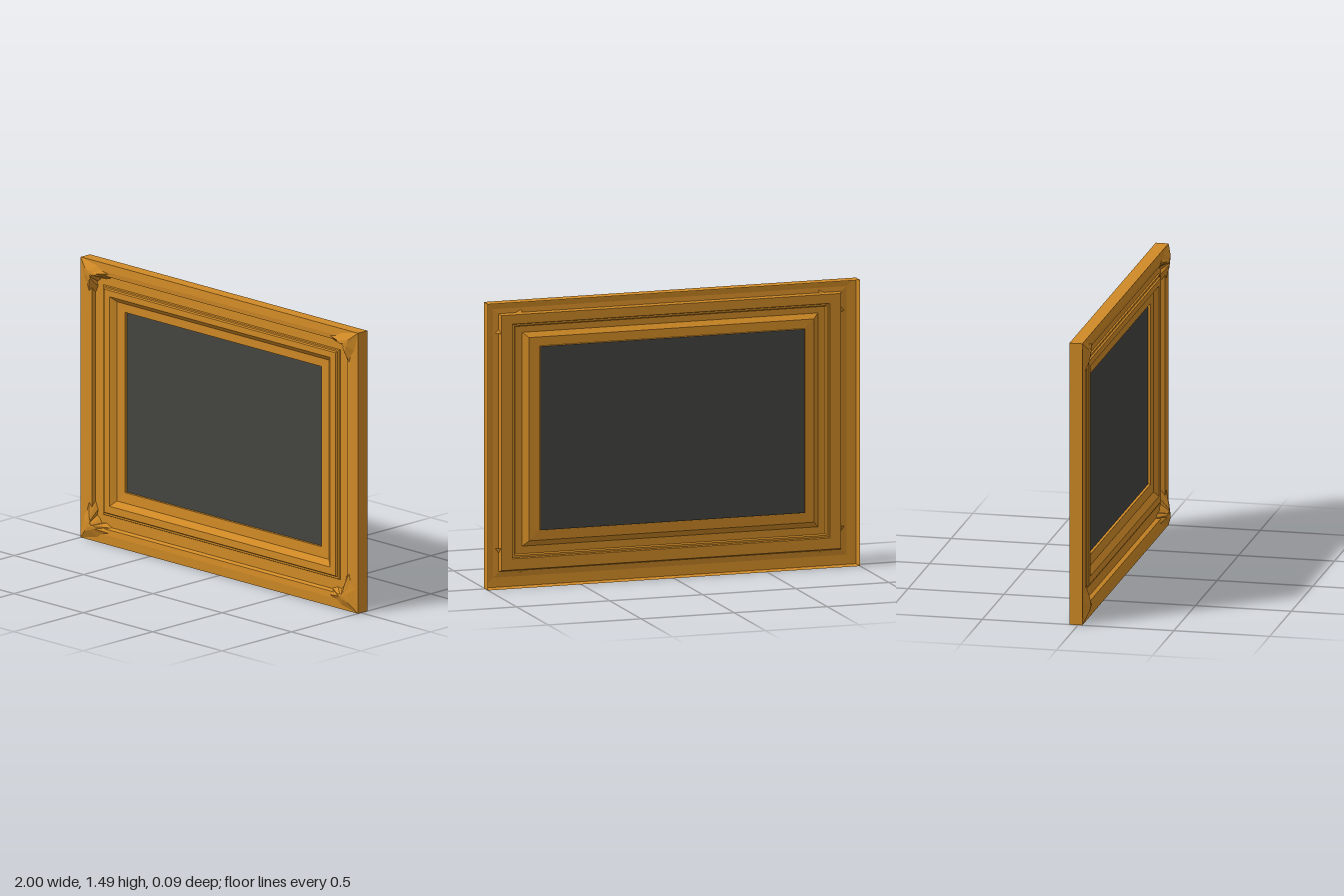
import * as THREE from 'three';

const W = 2, H = 1.485, TOP = 0.83; // the top rail is a little narrower than the others

const gold = new THREE.MeshStandardMaterial({ color: 0xd08a26, flatShading: true, side: THREE.DoubleSide });
const dark = new THREE.MeshStandardMaterial({ color: 0x444440, side: THREE.DoubleSide });

// corners counter-clockwise from the front: [x sign, is top]
const corners = [[-1, false], [1, false], [1, true], [-1, true]];

// point at inset u (sideways) and v (up or down) from a frame corner
function place([sx, top], u, v, z) {
  return [sx * (W / 2 - u), top ? H - v * TOP : v, z];
}

function meshFrom(name, positions) {
  const geo = new THREE.BufferGeometry();
  geo.setAttribute('position', new THREE.Float32BufferAttribute(positions, 3));
  geo.computeVertexNormals();
  const mesh = new THREE.Mesh(geo, gold);
  mesh.name = name;
  return mesh;
}

// moulding section swept round four mitred corners: [inset, z], open at the back
function makeMoulding() {
  const profile = [
    [0, -0.045], [0, 0.022], [0.05, 0.025], [0.08, 0.022], // outer rail
    [0.088, 0.002], [0.146, 0.002],                        // groove
    [0.15, 0.010], [0.16, 0.010], [0.166, 0.019], [0.205, 0.019], // stepped ridge
    [0.235, -0.004], [0.29, -0.006], [0.29, -0.022],       // inner bevel and lip
  ];
  const pos = [];
  for (let j = 0; j < profile.length - 1; j++) {
    const [d0, z0] = profile[j], [d1, z1] = profile[j + 1];
    for (let i = 0; i < 4; i++) {
      const p = corners[i], q = corners[(i + 1) % 4];
      const a = place(p, d0, d0, z0), b = place(q, d0, d0, z0);
      const c = place(q, d1, d1, z1), d = place(p, d1, d1, z1);
      pos.push(...a, ...b, ...c, ...a, ...c, ...d);
    }
  }
  return meshFrom('frameMoulding', pos);
}

// faceted leaf with a raised knob and two arms, symmetric about the mitre
function makeOrnament(corner) {
  const half = [
    [0.12, 0.026, 0.024], [0.155, 0.05, 0.025], [0.2, 0.062, 0.024],
    [0.205, 0.09, 0.002], [0.165, 0.105, 0.002], [0.135, 0.1, 0.002],
  ];
  const outline = [
    [0, 0, 0.022], ...half, [0.12, 0.12, 0.002],
    ...half.map(([u, v, z]) => [v, u, z]).reverse(),
  ];
  const peak = [0.08, 0.08, 0.047];
  const ring = outline.map(([u, v]) => [0.08 + (u - 0.08) * 0.35, 0.08 + (v - 0.08) * 0.35, 0.044]);
  const mirrored = (corner[0] > 0) !== corner[1];
  const pos = [];
  const tri = (a, b, c) => {
    for (const p of mirrored ? [a, c, b] : [a, b, c]) pos.push(...place(corner, ...p));
  };
  outline.forEach((o, i) => {
    const k = (i + 1) % outline.length;
    tri(peak, ring[i], ring[k]);
    tri(ring[i], o, outline[k]);
    tri(ring[i], outline[k], ring[k]);
  });
  return meshFrom('cornerOrnament', pos);
}

export function createModel() {
  const group = new THREE.Group();
  group.name = 'pictureFrame';
  group.add(makeMoulding());
  for (const corner of corners) group.add(makeOrnament(corner));

  // dark picture panel
  const bottom = 0.29, top = H - 0.29 * TOP;
  const panel = new THREE.Mesh(new THREE.PlaneGeometry(W - 0.58, top - bottom), dark);
  panel.position.set(0, (bottom + top) / 2, -0.02);
  panel.name = 'picturePanel';
  group.add(panel);
  return group;
}
